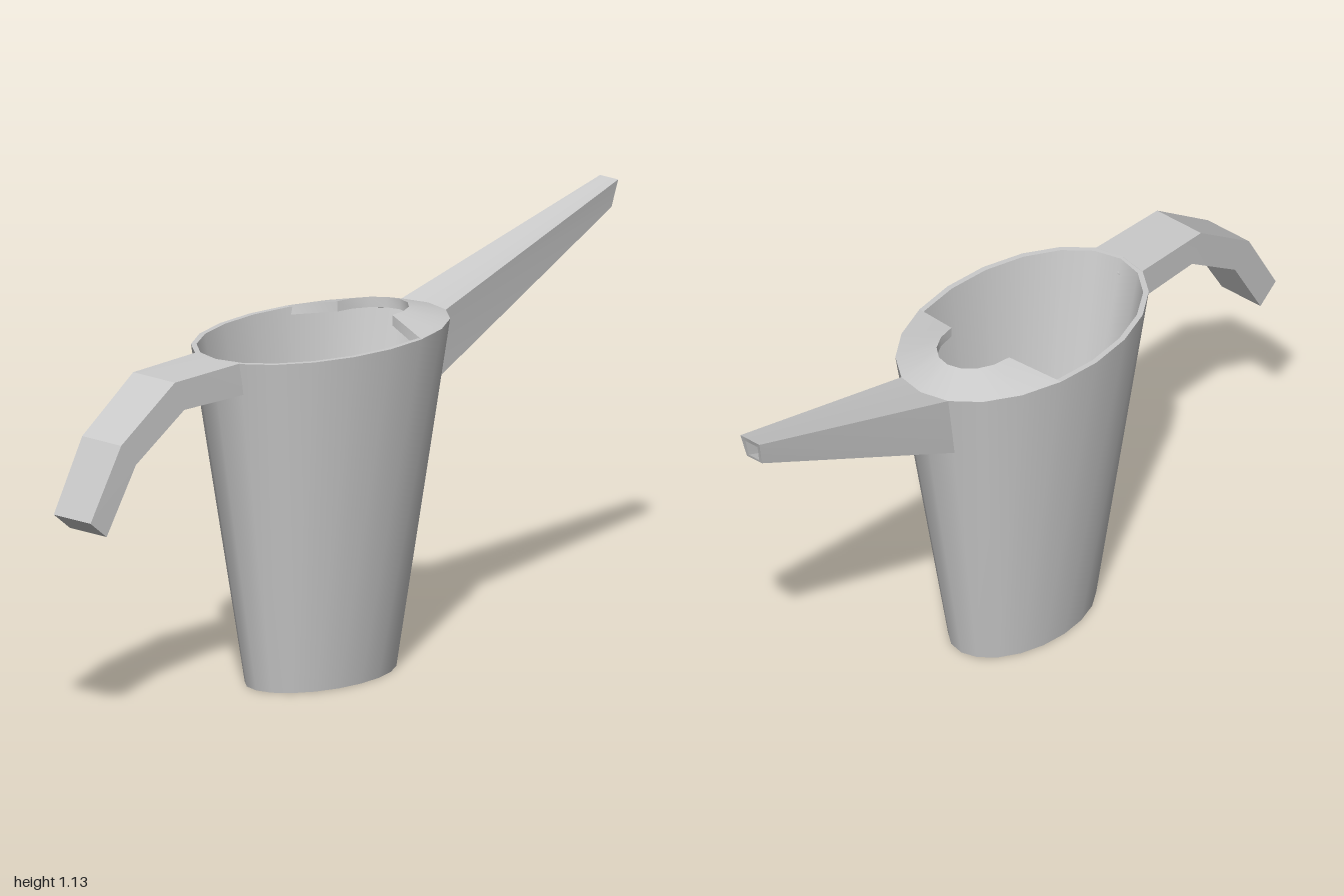
import * as THREE from 'three';
import { toCreasedNormals } from 'three/addons/utils/BufferGeometryUtils.js';

const SIDES = 20;
const CX = -0.075; // body axis
const RIM = 0.922;

// Skins a row of equal-length closed rings and caps both ends.
function loft(name, rings, crease) {
  const pos = [];
  const tri = (...pts) => pts.forEach((p) => pos.push(...p));
  const n = rings[0].length;
  const centre = (r) => [0, 1, 2].map((k) => r.reduce((s, p) => s + p[k], 0) / n);
  const first = rings[0], last = rings[rings.length - 1];
  const c0 = centre(first), c1 = centre(last);
  for (let i = 0; i < n; i++) {
    const j = (i + 1) % n;
    for (let r = 0; r < rings.length - 1; r++) {
      const a = rings[r], b = rings[r + 1];
      tri(a[i], a[j], b[j]);
      tri(a[i], b[j], b[i]);
    }
    tri(c0, first[j], first[i]);
    tri(c1, last[i], last[j]);
  }
  const geo = new THREE.BufferGeometry();
  geo.setAttribute('position', new THREE.Float32BufferAttribute(pos, 3));
  const mesh = new THREE.Mesh(
    toCreasedNormals(geo, crease),
    new THREE.MeshStandardMaterial({ color: 0xcccccc })
  );
  mesh.name = name;
  return mesh;
}

// Horizontal oval ring around the body axis.
const oval = (rx, rz, y) => Array.from({ length: SIDES }, (_, i) => {
  const a = (i / SIDES) * Math.PI * 2;
  return [CX + rx * Math.cos(a), y, -rz * Math.sin(a)];
});

// Rectangular section across x; dir is the way the arm runs, bulge moves the
// middle points to follow the curved body wall.
function section(dir, [tx, ty], [bx, by], ht, hb = ht, bulge = 0) {
  const m = dir * bulge;
  return [
    [bx, by, dir * hb], [bx + m, by, 0], [bx, by, -dir * hb],
    [tx, ty, -dir * ht], [tx + m, ty, 0], [tx, ty, dir * ht],
  ];
}

export function createModel() {
  const group = new THREE.Group();

  // Tapered oval bucket with a thin wall
  group.add(loft('body', [
    oval(0.24, 0.147, 0), oval(0.405, 0.258, RIM),
    oval(0.39, 0.243, RIM), oval(0.228, 0.135, 0.015),
  ], 0.6));

  // Raised hood over the spout side of the opening, with a rounded cut-out
  const hood = [];
  for (let k = -4; k <= 4; k++) {
    const a = (k / SIDES) * Math.PI * 2;
    const b = (k / 4) * Math.PI / 2;
    const lip = (y) => [0.09 + 0.13 * Math.cos(b), y, -0.1 * Math.sin(b)];
    const edge = (rx, rz, y) => [CX + rx * Math.cos(a), y, -rz * Math.sin(a)];
    hood.push([lip(0.925), lip(0.953), edge(0.405, 0.258, RIM), edge(0.392, 0.245, 0.9)]);
  }
  group.add(loft('hood', hood, 0.6));

  // Tapered hollow spout
  group.add(loft('spout', [
    section(1, [0.309, 0.922], [0.277, 0.736], 0.081, 0.075, 0.016),
    section(1, [1.0, 1.132], [0.982, 1.06], 0.033, 0.026),
    section(1, [0.994, 1.116], [0.984, 1.068], 0.021, 0.018),
    section(1, [0.335, 0.912], [0.335, 0.775], 0.066, 0.06),
  ], 0.3));

  // Handle bending down behind the body
  group.add(loft('handle', [
    section(-1, [-0.458, 0.923], [-0.444, 0.836], 0.08, 0.08, 0.016),
    section(-1, [-0.695, 0.916], [-0.66, 0.836], 0.076),
    section(-1, [-0.89, 0.782], [-0.835, 0.72], 0.071),
    section(-1, [-1.0, 0.592], [-0.94, 0.545], 0.067),
  ], 0.3));

  return group;
}
